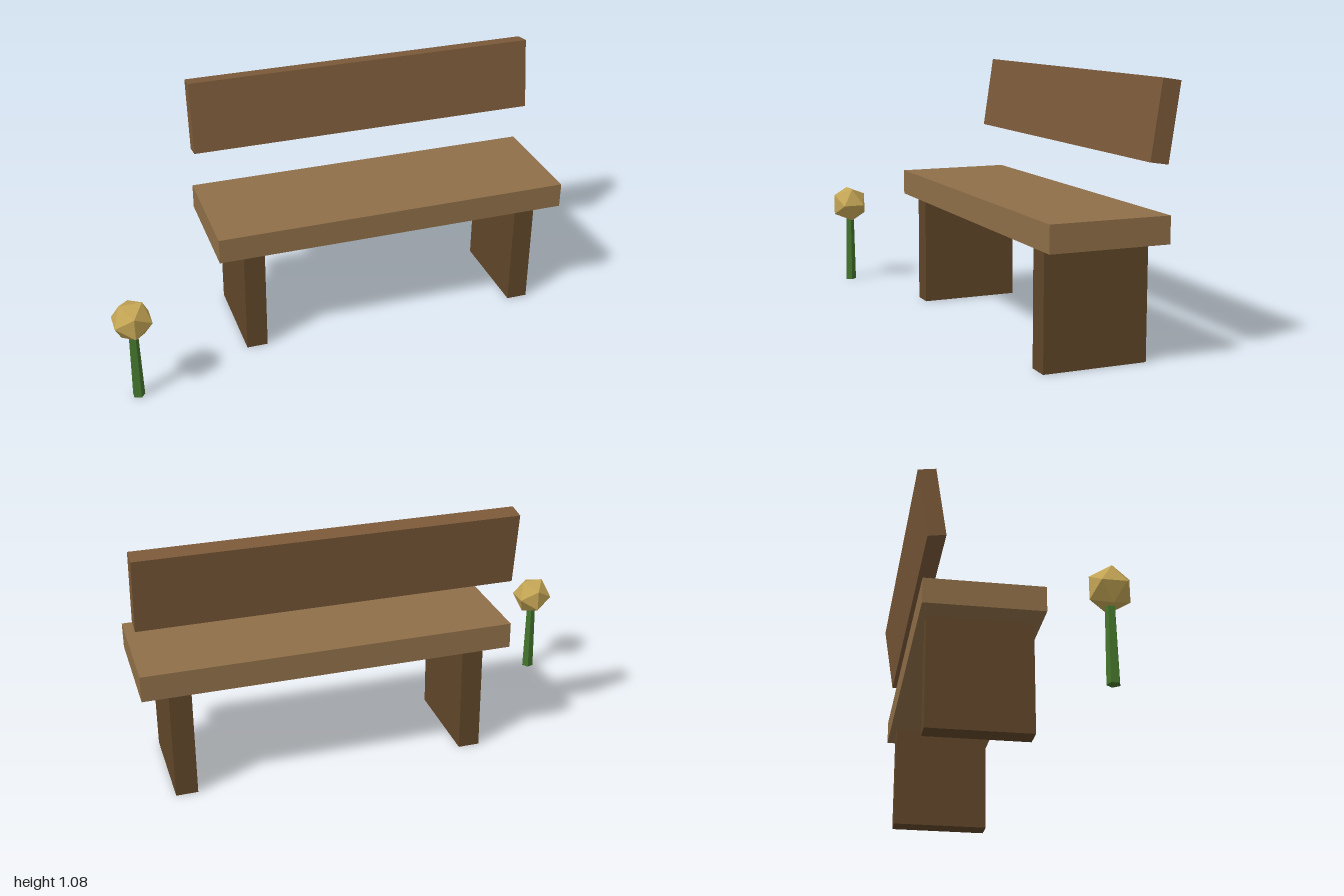
import * as THREE from 'three';

const material = (color) => new THREE.MeshStandardMaterial({ color, flatShading: true });

function addPart(parent, name, geometry, mat, x, y, z) {
  const mesh = new THREE.Mesh(geometry, mat);
  mesh.name = name;
  mesh.position.set(x, y, z);
  parent.add(mesh);
  return mesh;
}

export function createModel() {
  const model = new THREE.Group();
  model.name = 'benchAndFlower';

  // Bench: seat plank, two slab legs and a floating, leaning backrest
  const bench = new THREE.Group();
  bench.name = 'bench';
  bench.position.x = 0.235;
  model.add(bench);

  addPart(bench, 'seat', new THREE.BoxGeometry(1.53, 0.107, 0.488), material(0x8f6f48), 0, 0.522, -0.093);

  const legGeometry = new THREE.BoxGeometry(0.09, 0.47, 0.428);
  const legMaterial = material(0x604629);
  for (const side of [-1, 1]) {
    addPart(bench, side < 0 ? 'rightLeg' : 'leftLeg', legGeometry, legMaterial, side * 0.612, 0.235, -0.094);
  }

  const backrest = addPart(bench, 'backrest', new THREE.BoxGeometry(1.53, 0.306, 0.076), material(0x7b5a39), 0, 0.919, -0.307);
  backrest.rotation.x = -0.15;

  // Flower: tapered stem with a faceted bloom
  const flower = new THREE.Group();
  flower.name = 'flower';
  flower.position.set(-0.925, 0, 0.295);
  model.add(flower);

  const stem = addPart(flower, 'stem', new THREE.CylinderGeometry(0.019, 0.026, 0.34, 5), material(0x44752c), 0, 0.17, 0);
  stem.rotation.y = Math.PI / 2;
  addPart(flower, 'bloom', new THREE.IcosahedronGeometry(0.088, 0), material(0xc4a555), 0, 0.37, 0);

  return model;
}
